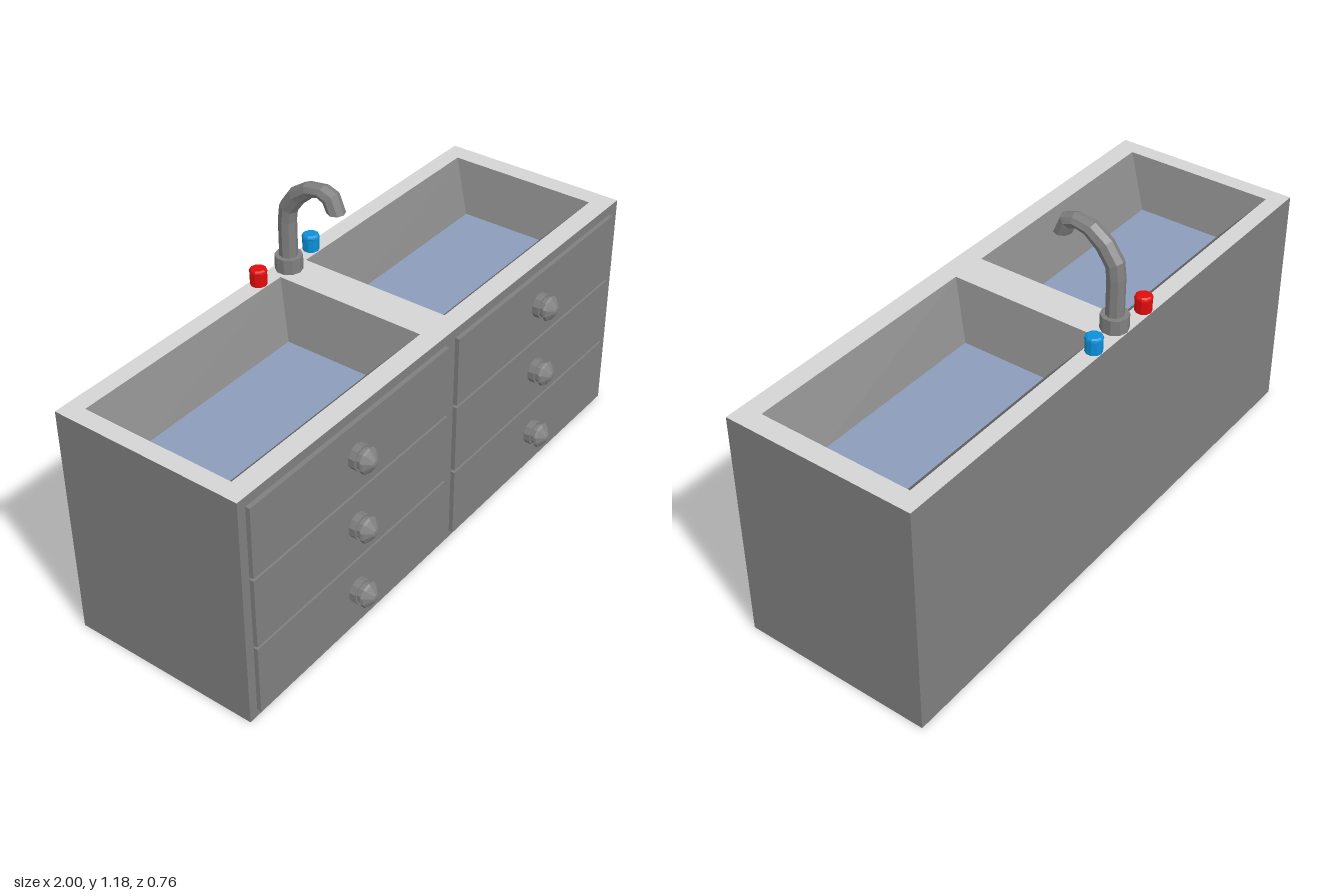
import * as THREE from 'three';

const material = (name, color) => new THREE.MeshStandardMaterial({ name, color, flatShading: true });

// Joins closed rings of [x, y, z] points with flat quads; optionally closes the last ring.
function loft(rings, capEnd = false) {
  const pos = [];
  const n = rings[0].length;
  for (let i = 0; i < rings.length - 1; i++) {
    for (let j = 0; j < n; j++) {
      const k = (j + 1) % n;
      const [a, b, c, d] = [rings[i][j], rings[i][k], rings[i + 1][k], rings[i + 1][j]];
      pos.push(...a, ...b, ...c, ...a, ...c, ...d);
    }
  }
  if (capEnd) {
    const r = rings[rings.length - 1];
    for (let j = 1; j < n - 1; j++) pos.push(...r[0], ...r[j], ...r[j + 1]);
  }
  const geo = new THREE.BufferGeometry();
  geo.setAttribute('position', new THREE.Float32BufferAttribute(pos, 3));
  geo.computeVertexNormals();
  return geo;
}

const rectRing = ([x0, x1, z0, z1], y) => [[x0, y, z1], [x1, y, z1], [x1, y, z0], [x0, y, z0]];

// Horizontal rectangle facing up (1) or down (-1)
function flatRect([x0, x1, z0, z1], y, facing) {
  return new THREE.PlaneGeometry(x1 - x0, z1 - z0)
    .rotateX(-facing * Math.PI / 2)
    .translate((x0 + x1) / 2, y, (z0 + z1) / 2);
}

const lathe = (points, sides) =>
  new THREE.LatheGeometry(points.map(([r, y]) => new THREE.Vector2(r, y)), sides);

export function createModel() {
  const model = new THREE.Group();
  model.name = 'doubleSinkCabinet';

  const grey = material('cabinetGrey', 0x7f7f7f);
  const light = material('counterLightGrey', 0xd4d4d4);
  const water = material('waterBlue', 0x8a9cba);
  const red = material('hotRed', 0xe00c0c);
  const blue = material('coldBlue', 0x0a90d8);

  const add = (name, geo, mat, parent = model) => {
    const mesh = new THREE.Mesh(geo, mat);
    mesh.name = name;
    parent.add(mesh);
    return mesh;
  };

  // Cabinet shell
  const top = 0.83;
  const body = [-1, 1, -0.377, 0.296];
  add('cabinetWalls', loft([rectRing(body, 0), rectRing(body, top)]), grey);
  add('cabinetBottom', flatRect(body, 0, -1), grey);

  // Counter with two openings, sloping basins and water
  const outline = ([x0, x1, z0, z1], Type) => new Type(
    [[x0, -z1], [x1, -z1], [x1, -z0], [x0, -z0]].map(([x, y]) => new THREE.Vector2(x, y)));
  const counter = outline(body, THREE.Shape);
  const depth = 0.14;
  for (const [side, x] of [['right', -0.505], ['left', 0.495]]) {
    const opening = [x - 0.435, x + 0.435, -0.317, 0.226];
    const floor = [x - 0.325, x + 0.325, -0.2, 0.104];
    counter.holes.push(outline(opening, THREE.Path));
    add(side + 'BasinWalls', loft([rectRing(opening, top), rectRing(floor, top - depth)]), grey);
    add(side + 'BasinWater', flatRect(floor, top - depth, 1), water);
  }
  add('counterTop', new THREE.ShapeGeometry(counter).rotateX(-Math.PI / 2).translate(0, top, 0), light);

  // Drawers, three per side, each with a faceted knob
  const knobGeo = lathe([
    [0.042, 0], [0.042, 0.026], [0.035, 0.026], [0.035, 0.04],
    [0.044, 0.044], [0.041, 0.052], [0.012, 0.072], [0, 0.074],
  ], 10).rotateX(Math.PI / 2);
  for (const [side, x] of [['right', -0.502], ['left', 0.483]]) {
    for (let row = 0; row < 3; row++) {
      const drawer = new THREE.Group();
      drawer.name = side + 'Drawer' + (row + 1);
      drawer.position.set(x, 0.152 + row * 0.26, 0.303);
      add('drawerFront', new THREE.BoxGeometry(0.932, 0.25, 0.016), grey, drawer);
      add('drawerKnob', knobGeo, grey, drawer).position.set(0, 0.01, 0.006);
      model.add(drawer);
    }
  }

  // Faucet base
  add('faucetBase', new THREE.CylinderGeometry(0.046, 0.046, 0.052, 10), grey)
    .position.set(-0.01, top + 0.026, -0.33);

  // Curved spout: outer z, y and inner z, y of each cross-section
  const sections = [
    [-0.36, 0.86, -0.3, 0.86],
    [-0.36, 1.01, -0.3, 1.01],
    [-0.352, 1.07, -0.295, 1.045],
    [-0.31, 1.13, -0.262, 1.09],
    [-0.25, 1.17, -0.222, 1.125],
    [-0.178, 1.18, -0.195, 1.134],
    [-0.132, 1.165, -0.177, 1.125],
    [-0.105, 1.1, -0.165, 1.1],
  ];
  const spout = sections.map(([oz, oy, iz, iy]) => Array.from({ length: 8 }, (_, j) => {
    const a = j / 8 * Math.PI * 2;
    const c = Math.cos(a) / 2;
    return [-0.01 - 0.031 * Math.sin(a), (oy + iy) / 2 + (oy - iy) * c, (oz + iz) / 2 + (oz - iz) * c];
  }));
  add('faucetSpout', loft(spout, true), grey);

  // Hot and cold valves
  const valveGeo = lathe([[0.028, 0], [0.028, 0.045], [0.03, 0.047], [0.028, 0.054], [0.022, 0.058], [0, 0.058]], 10);
  add('hotValve', valveGeo, red).position.set(-0.14, top, -0.348);
  add('coldValve', valveGeo, blue).position.set(0.125, top, -0.348);

  return model;
}
